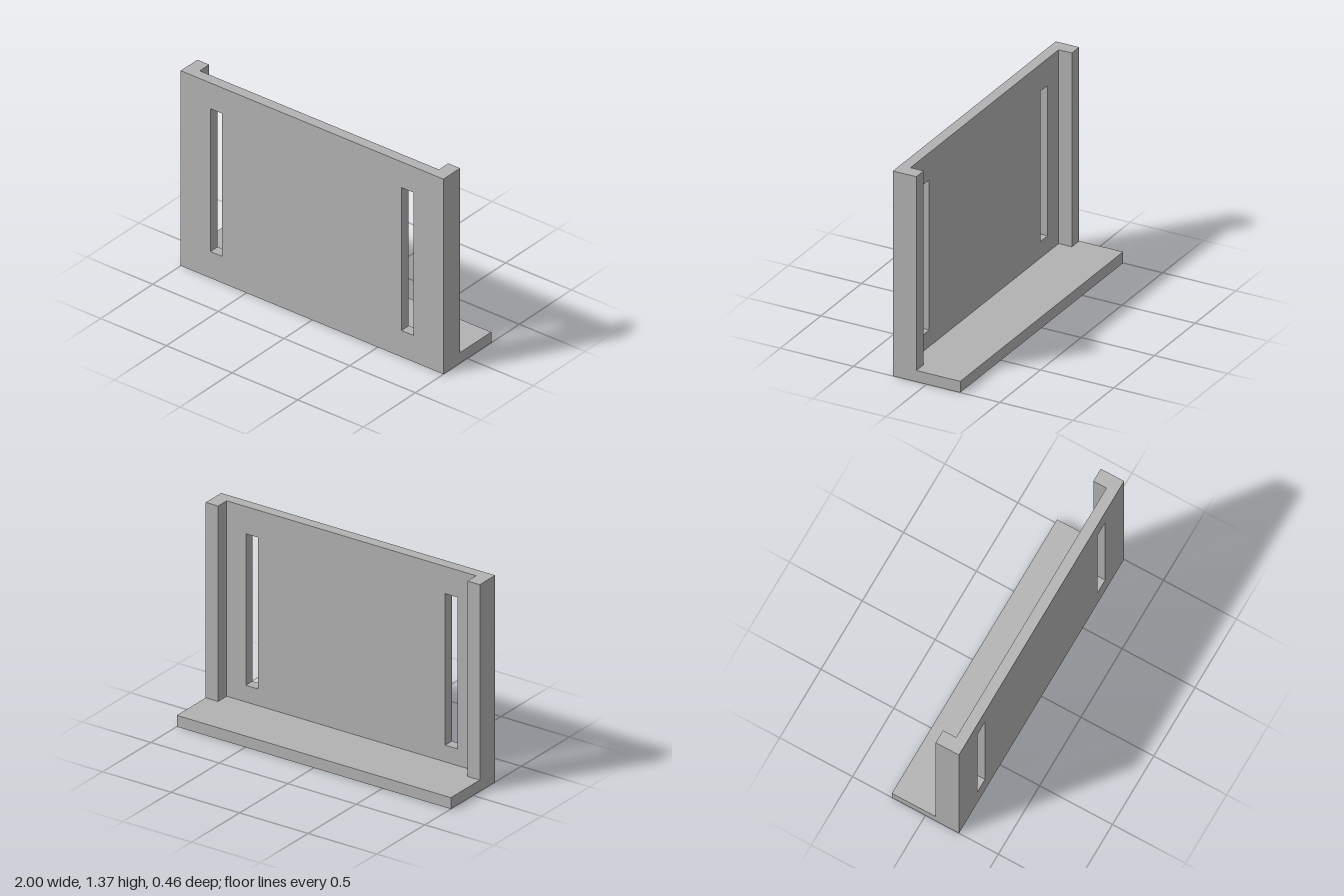
import * as THREE from 'three';

const HEIGHT = 1.365;
const BASE_TOP = 0.075;
const FRONT = 0.23, PANEL_BACK = 0.16, RIB_BACK = 0.07, BACK = -0.23;

export function createModel() {
  const group = new THREE.Group();
  const grey = new THREE.MeshStandardMaterial({ color: 0xb2b2b2 });
  grey.name = 'grey';

  const add = (name, geometry) => {
    const mesh = new THREE.Mesh(geometry, grey);
    mesh.name = name;
    group.add(mesh);
    return mesh;
  };
  const rectangle = (target, x0, x1, y0, y1) => {
    target.moveTo(x0, y0).lineTo(x1, y0).lineTo(x1, y1).lineTo(x0, y1).closePath();
    return target;
  };
  const box = (name, x0, x1, y0, y1, z0, z1) =>
    add(name, new THREE.BoxGeometry(x1 - x0, y1 - y0, z1 - z0))
      .position.set((x0 + x1) / 2, (y0 + y1) / 2, (z0 + z1) / 2);

  // Upright panel with two tall slots
  const outline = rectangle(new THREE.Shape(), -1, 1, 0, HEIGHT);
  for (const x of [-0.775, 0.68]) {
    outline.holes.push(rectangle(new THREE.Path(), x, x + 0.091, 0.185, 1.185));
  }
  add('frontPanel', new THREE.ExtrudeGeometry(outline, {
    depth: FRONT - PANEL_BACK, bevelEnabled: false,
  })).position.z = PANEL_BACK;

  // Flat foot behind the panel
  box('base', -1, 1, 0, BASE_TOP, BACK, PANEL_BACK);

  // Stiffening ribs along both rear edges
  box('leftRib', 0.91, 1, BASE_TOP, HEIGHT, RIB_BACK, PANEL_BACK);
  box('rightRib', -1, -0.91, BASE_TOP, HEIGHT, RIB_BACK, PANEL_BACK);

  return group;
}
